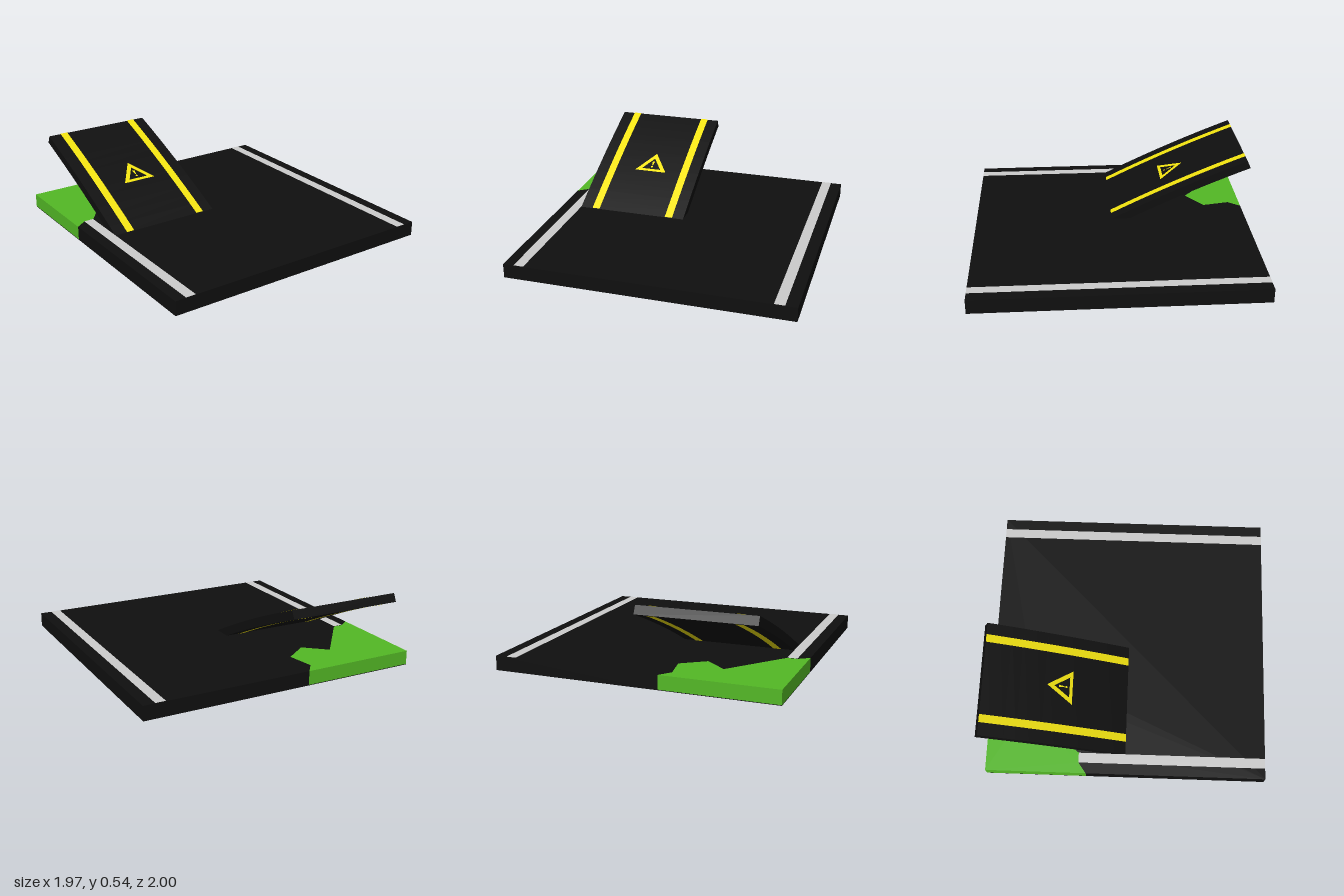
import * as THREE from 'three';

const X = 0.985, BACK = -0.975, FRONT = 1, TOP = 0.1;
const paint = (color, side = THREE.FrontSide) => new THREE.MeshStandardMaterial({ color, side });

// Ramp profile: gently bowed rise towards the back
const RAMP = { left: -0.04, right: -0.84, z0: 0.01, z1: -0.975, dz: -0.025, dy: -0.055, steps: 12 };
const rampY = (z) => {
  const t = (RAMP.z0 - z) / (RAMP.z0 - RAMP.z1);
  return TOP + 0.435 * t + 0.06 * t * (1 - t);
};

// Plan shapes use (x, -z), so a quarter turn lays them flat facing up
const plan = (points) => new THREE.Shape(points.map(([x, z]) => new THREE.Vector2(x, -z)));

function slab(points, y0, y1) {
  const geo = new THREE.ExtrudeGeometry(plan(points), { depth: y1 - y0, bevelEnabled: false });
  return geo.rotateX(-Math.PI / 2).translate(0, y0, 0);
}

function strip(x0, x1, z0, z1, segments = 1) {
  const geo = new THREE.PlaneGeometry(x1 - x0, z1 - z0, 1, segments).rotateX(-Math.PI / 2);
  return geo.translate((x0 + x1) / 2, 0, (z0 + z1) / 2);
}

// Lay a flat geometry on the ramp's upper or lower face
function drape(geo, under = false) {
  const p = geo.attributes.position;
  for (let i = 0; i < p.count; i++) {
    const z = p.getZ(i);
    const y = rampY(z);
    if (under) p.setXYZ(i, p.getX(i), y + RAMP.dy - 0.003, z + RAMP.dz);
    else p.setY(i, y + 0.003);
  }
  geo.computeVertexNormals();
  return geo;
}

export function createModel() {
  const model = new THREE.Group();
  const black = paint(0x0f0f0f), grey = paint(0xcccccc), green = paint(0x53b825);
  const yellow = paint(0xf2e30f, THREE.DoubleSide);
  const add = (name, geo, mat, parent = model) => {
    const mesh = new THREE.Mesh(geo, mat);
    mesh.name = name;
    parent.add(mesh);
    return mesh;
  };

  // Road slab with a ragged corner filled by grass
  const edge = [
    [-X, -0.265], [-0.91, -0.32], [-0.84, -0.32], [-0.53, -0.71], [-0.38, -0.58],
    [-0.215, -0.7], [-0.25, -0.89], [-0.185, BACK],
  ];
  add('roadSlab', slab([[-X, FRONT], [X, FRONT], [X, BACK], ...[...edge].reverse()], 0, TOP), black);
  const corner = [...edge, [-X, BACK]];
  add('grassBase', slab(corner, 0, 0.004), black);
  add('grassCorner', slab(corner, 0.004, TOP), green);

  // Road edge lines
  add('leftEdgeLine', strip(0.835, 0.905, BACK, FRONT).translate(0, TOP + 0.002, 0), grey);
  add('rightEdgeLine', strip(-0.91, -0.84, -0.32, FRONT).translate(0, TOP + 0.002, 0), grey);

  // Ramp board: side profile extruded across its width
  const ramp = new THREE.Group();
  ramp.name = 'ramp';
  model.add(ramp);
  const upper = [], lower = [];
  for (let i = 0; i <= RAMP.steps; i++) {
    const z = THREE.MathUtils.lerp(RAMP.z0, RAMP.z1, i / RAMP.steps);
    upper.push(new THREE.Vector2(-z, rampY(z)));
    lower.unshift(new THREE.Vector2(-z - RAMP.dz, rampY(z) + RAMP.dy));
  }
  const board = new THREE.ExtrudeGeometry(new THREE.Shape([...upper, ...lower]), {
    depth: RAMP.left - RAMP.right, bevelEnabled: false,
  });
  add('rampBoard', board.rotateY(Math.PI / 2).translate(RAMP.right, 0, 0), black, ramp);

  // Yellow stripes on both faces of the ramp
  for (const [x0, x1] of [[-0.75, -0.694], [-0.18, -0.124]]) {
    for (const under of [false, true]) {
      const geo = strip(x0, x1, RAMP.z1, RAMP.z0, RAMP.steps);
      add(under ? 'lowerStripe' : 'upperStripe', drape(geo, under), yellow, ramp);
    }
  }

  // Warning triangle with its bar and dot
  const triangle = plan([[-0.542, -0.376], [-0.296, -0.376], [-0.419, -0.55]]);
  triangle.holes.push(plan([[-0.492, -0.397], [-0.419, -0.5], [-0.346, -0.397]]));
  const bar = plan([[-0.423, -0.433], [-0.415, -0.433], [-0.41, -0.47], [-0.428, -0.47]]);
  const dot = new THREE.Shape().absarc(-0.419, 0.419, 0.008, 0, Math.PI * 2);
  for (const [name, shape] of [['warningTriangle', triangle], ['warningBar', bar], ['warningDot', dot]]) {
    add(name, drape(new THREE.ShapeGeometry(shape).rotateX(-Math.PI / 2)), yellow, ramp);
  }
  return model;
}
